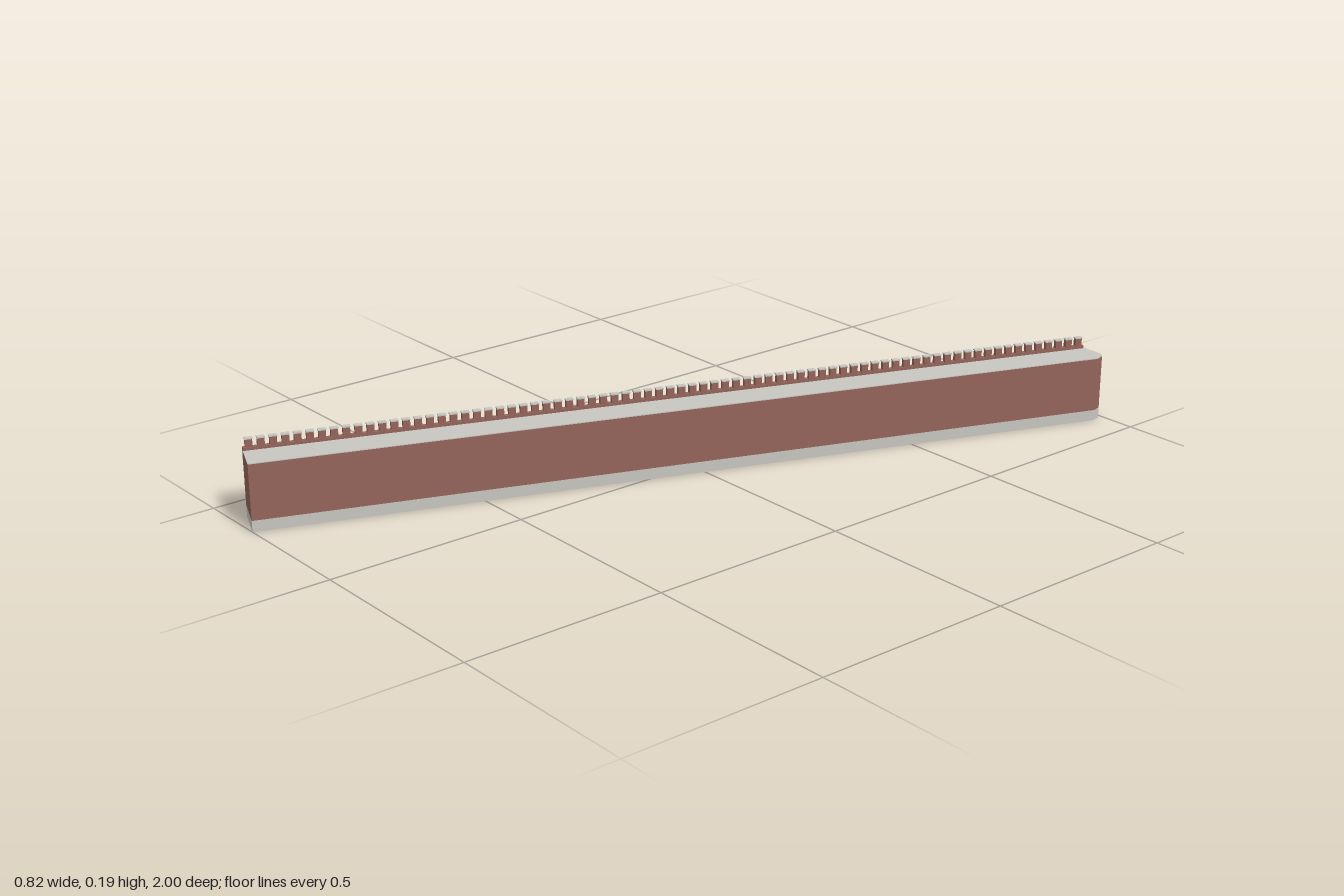
import * as THREE from 'three';

export function createModel() {
  const brick = new THREE.MeshStandardMaterial({ color: 0x94655a });
  brick.name = 'brick';
  const stone = new THREE.MeshStandardMaterial({ color: 0xc8c6c0 });
  stone.name = 'paleStone';
  const model = new THREE.Group();
  model.name = 'embankmentWall';

  // Plan of the wall as [x, z]: a long slanted strip with a clipped far corner
  const plan = [[-0.41, 0.965], [-0.325, 1], [0.41, -0.965], [0.405, -0.988], [0.392, -0.998], [0.325, -1]];
  const outline = new THREE.Shape(plan.map(([x, z]) => new THREE.Vector2(x, -z)));

  function layer(name, y0, y1, material) {
    const geometry = new THREE.ExtrudeGeometry(outline, { depth: y1 - y0, bevelEnabled: false });
    geometry.rotateX(-Math.PI / 2);
    const mesh = new THREE.Mesh(geometry, material);
    mesh.name = name;
    mesh.position.y = y0;
    model.add(mesh);
  }
  layer('plinth', 0, 0.027, stone);
  layer('wallBody', 0.027, 0.162, brick);
  layer('walkway', 0.162, 0.164, stone);

  // Parapet frame: local x runs along the outer edge, local z points inward
  const dx = 0.735, dz = -1.965;
  const length = Math.hypot(dx, dz);
  const parapet = new THREE.Group();
  parapet.name = 'parapet';
  parapet.position.set(-0.41, 0, 0.965);
  parapet.rotation.y = Math.atan2(-dz, dx);
  model.add(parapet);

  function block(name, x, y0, y1, z, w, d, material) {
    const mesh = new THREE.Mesh(new THREE.BoxGeometry(w, y1 - y0, d), material);
    mesh.name = name;
    mesh.position.set(x, (y0 + y1) / 2, z);
    parapet.add(mesh);
  }
  block('stringCourse', length / 2, 0.137, 0.141, 0, length, 0.004, stone);
  block('parapetBase', length / 2, 0.164, 0.171, 0.007, length, 0.012, brick);

  // Row of capped merlons
  const count = 76;
  const pitch = length / count;
  for (let i = 0; i < count; i++) {
    const x = (i + 0.5) * pitch;
    block('merlon', x, 0.171, 0.19, 0.007, pitch * 0.6, 0.011, brick);
    block('merlonCap', x, 0.19, 0.193, 0.007, pitch * 0.68, 0.013, stone);
  }
  return model;
}
